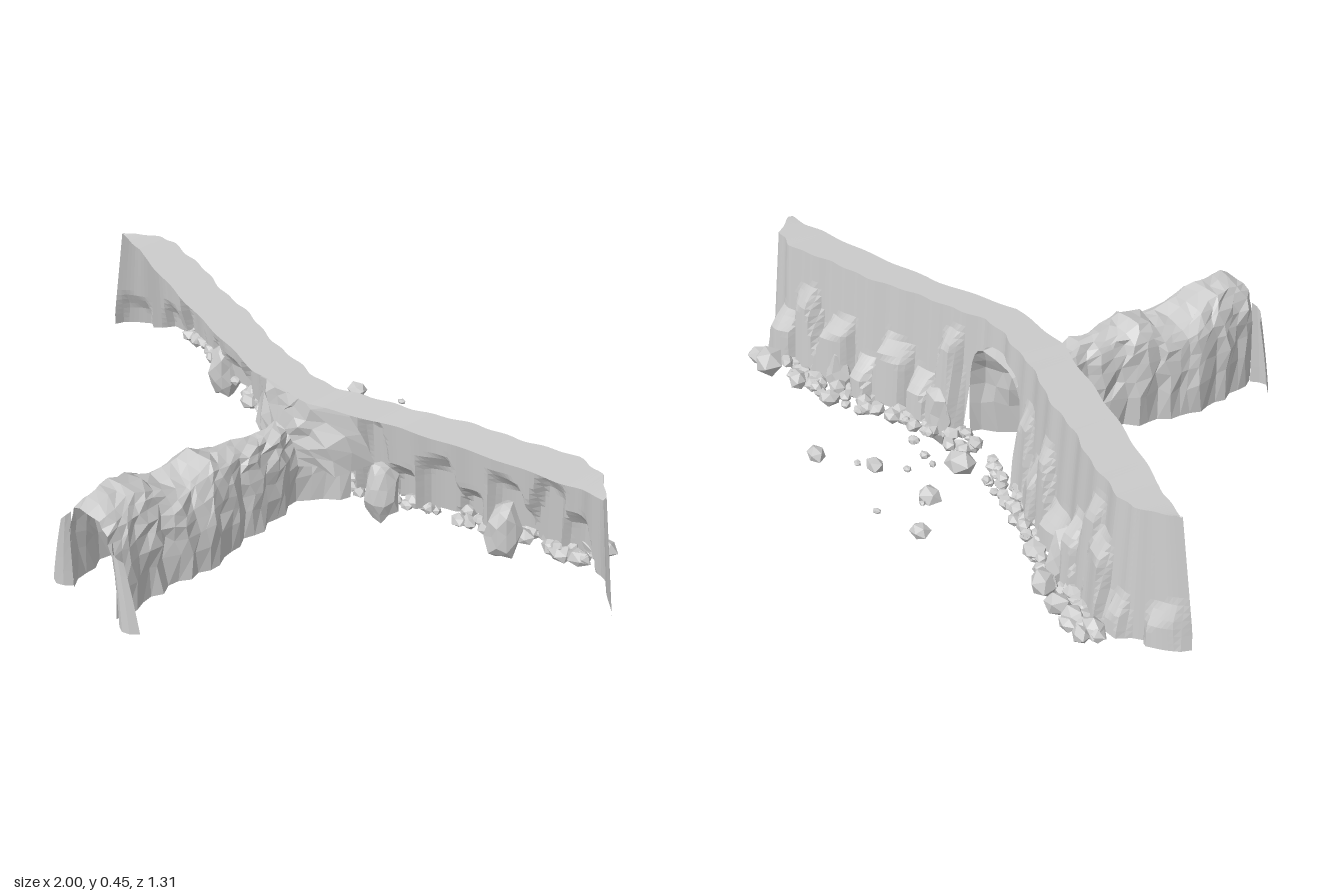
import * as THREE from 'three';

const stone = new THREE.MeshStandardMaterial({ color: 0xcccccc, flatShading: true, side: THREE.DoubleSide });

// Seeded random numbers
let seed = 7;
function rnd(a = 0, b = 1) {
  seed = (seed * 16807) % 2147483647;
  return a + (b - a) * (seed / 2147483647);
}

// Linear lookup in a table of [key, a, b, ...] rows
function at(table, t, k = 1) {
  if (t <= table[0][0]) return table[0][k];
  for (let i = 1; i < table.length; i++) {
    const p = table[i - 1], q = table[i];
    if (t <= q[0]) return p[k] + (q[k] - p[k]) * (t - p[0]) / (q[0] - p[0]);
  }
  return table[table.length - 1][k];
}

// Faceted sheet from a grid of points
function sheet(name, nu, nv, point) {
  const pos = [], idx = [];
  for (let i = 0; i <= nu; i++) for (let j = 0; j <= nv; j++) pos.push(...point(i, j));
  for (let i = 0; i < nu; i++) for (let j = 0; j < nv; j++) {
    const a = i * (nv + 1) + j, b = a + nv + 1;
    idx.push(a, a + 1, b, b, a + 1, b + 1);
  }
  let g = new THREE.BufferGeometry();
  g.setAttribute('position', new THREE.Float32BufferAttribute(pos, 3));
  g.setIndex(idx);
  g = g.toNonIndexed();
  g.computeVertexNormals();
  const m = new THREE.Mesh(g, stone);
  m.name = name;
  return m;
}

// Irregular faceted stone with half-sizes sx, sy, sz
function rock(name, x, y, z, sx, sy, sz, detail = 0) {
  const g = new THREE.IcosahedronGeometry(1, detail);
  const p = g.attributes.position, moved = new Map();
  for (let i = 0; i < p.count; i++) {
    const key = [p.getX(i), p.getY(i), p.getZ(i)].map(c => Math.round(c * 100)).join();
    if (!moved.has(key)) moved.set(key, rnd(0.82, 1.12));
    const s = moved.get(key);
    p.setXYZ(i, p.getX(i) * s, p.getY(i) * s, p.getZ(i) * s);
  }
  // Tumble first, then stretch, so the rocks all differ
  g.rotateX(rnd(0, 3)).rotateZ(rnd(0, 3)).scale(sx, sy, sz).rotateY(rnd(-0.5, 0.5));
  g.computeVertexNormals();
  const m = new THREE.Mesh(g, stone);
  m.name = name;
  m.position.set(x, y, z);
  return m;
}

// Cliff plan: x, z of the cliff face at the top, z of the front rim of the top
const plan = [
  [-1, -0.28, -0.275], [-0.95, -0.305, -0.27], [-0.85, -0.345, -0.255], [-0.78, -0.36, -0.235],
  [-0.65, -0.325, -0.195], [-0.45, -0.275, -0.14], [-0.22, -0.215, -0.085], [-0.12, -0.185, -0.06],
  [0, -0.165, -0.06], [0.1, -0.17, -0.06], [0.2, -0.2, -0.1], [0.35, -0.265, -0.16],
  [0.6, -0.355, -0.235], [0.78, -0.405, -0.28], [0.9, -0.4, -0.305], [1, -0.32, -0.315]
];
// Rock buttresses on the cliff face: x, half width, top y, depth
const buttresses = [
  [-0.95, 0.045, 0.21, 0.025], [-0.83, 0.035, 0.2, 0.03], [-0.735, 0.055, 0.33, 0.035], [-0.665, 0.05, 0.4, 0.025],
  [-0.6, 0.04, 0.28, 0.045], [-0.47, 0.06, 0.21, 0.04], [-0.37, 0.045, 0.35, 0.025], [-0.3, 0.045, 0.25, 0.04],
  [-0.2, 0.05, 0.35, 0.03], [0.2, 0.05, 0.4, 0.03], [0.28, 0.045, 0.23, 0.045], [0.38, 0.06, 0.3, 0.035],
  [0.47, 0.04, 0.21, 0.05], [0.58, 0.06, 0.3, 0.04], [0.69, 0.055, 0.35, 0.03], [0.78, 0.055, 0.25, 0.04]
];
const TOP = 0.458, MOUTH = 0.14, MOUTH_TOP = 0.39;

function cliff() {
  const cols = 180, rows = 18;
  return sheet('cliffWall', cols, rows + 1, (i, j) => {
    const u = -1 + 2 * i / cols, a = Math.abs(u);
    const v = Math.min(j / rows, 1);
    // The face starts above the cave mouth where the arch is
    let low = 0.085;
    if (a < MOUTH) low += (MOUTH_TOP - 0.085) * Math.pow(1 - (a / MOUTH) ** 4, 0.35);
    const y = low + (TOP - low) * v;
    const up = (y - 0.085) / (TOP - 0.085);
    const x = u - Math.sign(u) * Math.max(0, a - 0.8) / 0.2 * 0.065 * up;
    if (j > rows) return [x, TOP - 0.003, at(plan, u, 2) + 0.003 * Math.sin(u * 33)];
    let z = at(plan, u) - 0.035 * (1 - up) * Math.min(1, (1 - a) * 8);
    z += 0.005 * Math.sin(u * 23) + 0.003 * Math.sin(u * 61 + 1);
    // Tapered, leaning pillars with bevelled tops and sides
    let bulge = 0;
    for (const [bx, w, h, d] of buttresses) {
      const off = u - bx - 0.12 * (y - 0.2) * Math.sin(bx * 30);
      const inside = w * (1.15 - 0.6 * up) - Math.abs(off);
      const below = h + off * 0.4 * Math.cos(bx * 50) - y;
      const edge = Math.min(1, Math.max(0, inside / 0.016)) * Math.min(1, Math.max(0, below / 0.06));
      bulge = Math.max(bulge, d * edge * (1 + off * 6 * Math.sin(bx * 90)));
    }
    return [x, y, z - bulge];
  });
}

// Tunnel stations: z, left x, right x, roof y
const stations = [
  [-0.2, -0.14, 0.14, 0.39], [-0.15, -0.115, 0.115, 0.4], [-0.09, -0.05, 0.045, 0.36], [-0.04, -0.055, 0.055, 0.335],
  [0.05, -0.055, 0.07, 0.34], [0.15, -0.08, 0.065, 0.355], [0.22, -0.11, 0.085, 0.365], [0.26, -0.125, 0.09, 0.38],
  [0.32, -0.13, 0.095, 0.35], [0.37, -0.15, 0.085, 0.345], [0.45, -0.155, 0.065, 0.385], [0.53, -0.145, 0.07, 0.402],
  [0.61, -0.125, 0.075, 0.395], [0.635, -0.12, 0.075, 0.385]
];

function tunnel() {
  const rings = 26, n = 16, z0 = -0.2, z1 = 0.635;
  return sheet('tunnel', rings, n, (i, j) => {
    const z = z0 + (z1 - z0) * i / rings;
    const l = at(stations, z, 1), r = at(stations, z, 2), h = at(stations, z, 3) - 0.07;
    const c = Math.cos(Math.PI * j / n), s = Math.max(0, Math.sin(Math.PI * j / n));
    const rough = i === 0 ? 0 : 0.007, foot = j === 0 || j === n;
    // Upright flutes run down both sides
    const flute = i === 0 ? 0 : 0.008 * Math.sin(i * 2.1 + Math.sign(c));
    const x = (l + r) / 2 + ((r - l) / 2 + flute) * Math.sign(c) * Math.sqrt(Math.abs(c));
    return [x + rnd(-rough, rough), 0.07 + h * Math.pow(s, 0.7) + (foot ? 0 : rnd(-rough, rough)),
      z + (i > 0 && i < rings && !foot ? rnd(-0.013, 0.013) : 0)];
  });
}

// Flared, bowed side flap at the outer tunnel end, side = 1 or -1
function flap(side) {
  const edge = side > 0 ? 0.075 : -0.12;
  return sheet('tunnelEndFlap', 4, 5, (i, j) => {
    const t = i / 4, v = j / 5;
    return [edge + side * (0.083 * t * (1 - 0.5 * v) - 0.012 * v * v),
      0.07 + v * (0.27 - 0.05 * t), 0.63 + 0.028 * Math.sin(t * Math.PI) * (1 - 0.4 * v)];
  });
}

// Faceted collar from the tunnel arch out to the cliff, as seen from the tunnel side
// Rings: half width, rise above y 0.2, z at the crown, z at the sides
const collarRings = [[0.062, 0.14, -0.045, -0.06], [0.11, 0.185, -0.052, -0.08], [0.155, 0.225, -0.05, -0.11],
  [0.19, 0.255, -0.065, -0.15], [0.22, 0.255, -0.16, -0.2]];

function collar() {
  const n = 13;
  return sheet('caveMouthCollar', n, 4, (i, j) => {
    const a = 0.1 + (Math.PI - 0.2) * i / n;
    const [w, h, crown, flank] = collarRings[j], c = Math.cos(a), k = j === 0 ? 0 : 0.014;
    return [w * c + rnd(-k, k), Math.min(TOP - 0.005, 0.2 + h * Math.sin(a) + rnd(-k, k)),
      crown + (flank - crown) * c * c + rnd(-k, k) * 0.8];
  });
}

export function createModel() {
  const model = new THREE.Group();
  model.name = 'cliffWithTunnel';
  model.add(cliff(), tunnel(), flap(1), flap(-1), collar());

  // Tall boulders set through the cliff foot: x, y, z, half-sizes
  const tall = [[-0.55, 0.105, -0.345, 0.048, 0.105, 0.055], [0.22, 0.112, -0.245, 0.06, 0.11, 0.052],
    [0.575, 0.105, -0.37, 0.052, 0.103, 0.055]];
  for (const t of tall) model.add(rock('tallBoulder', ...t, 1));

  // Rubble heaped along the back foot of the cliff
  const rubble = new THREE.Group();
  rubble.name = 'rubble';
  for (const side of [-1, 1]) for (let k = 0; k < 56; k++) {
    const x = side * (0.05 + 0.77 * (k + rnd()) / 56);
    const s = rnd(0.01, 0.021) + 0.012 * Math.abs(x);
    const z = at(plan, x) - 0.04 - rnd(0, 0.085);
    rubble.add(rock('rubbleRock', x, rnd(0.072, 0.095), z, s * 1.35, s * 0.95, s * 1.1));
  }
  // Larger rocks: x, z, radius
  const large = [[0.76, -0.52, 0.046], [0.63, -0.49, 0.03], [0.81, -0.52, 0.035], [0.5, -0.46, 0.028],
    [-0.8, -0.44, 0.034], [-0.67, -0.46, 0.035], [-0.58, -0.44, 0.038], [-0.73, -0.45, 0.03], [-0.45, -0.38, 0.03]];
  for (const [x, z, r] of large) rubble.add(rock('largeRubbleRock', x, 0.07 + r * 0.75, z, r * 1.35, r * 0.95, r));
  model.add(rubble);

  // Loose stones in front of the cave mouth: x, z, radius
  const loose = new THREE.Group();
  loose.name = 'looseStones';
  const stones = [[-0.2, -0.58, 0.033], [0.27, -0.632, 0.033], [0.13, -0.525, 0.033], [-0.08, -0.475, 0.036],
    [0, -0.32, 0.052], [-0.06, -0.63, 0.012], [0.165, -0.56, 0.012], [0.06, -0.46, 0.012], [0.09, -0.385, 0.016],
    [-0.1, -0.51, 0.011], [0.04, -0.39, 0.013], [0.17, -0.37, 0.02], [-0.04, -0.24, 0.02], [0.06, -0.23, 0.024]];
  for (const [x, z, r] of stones) loose.add(rock('looseStone', x, 0.09, z, r * 1.1, r * 0.75, r * 0.9));
  model.add(loose);
  return model;
}
